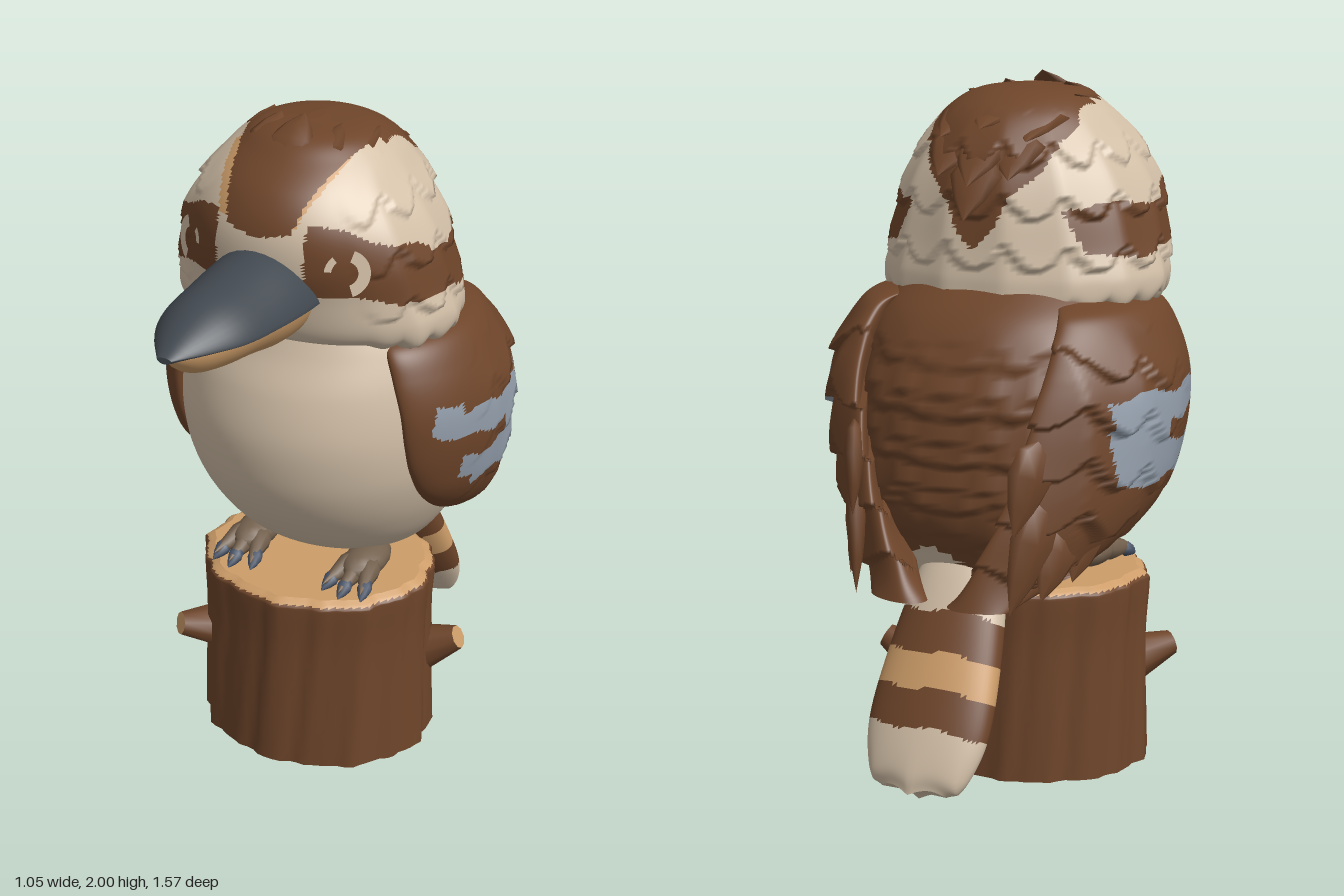
import * as THREE from 'three';

const mat = (name, color) => {
  const m = new THREE.MeshStandardMaterial({ color });
  m.name = name;
  return m;
};
const V = (x, y, z) => new THREE.Vector3(x, y, z);
const clamp = THREE.MathUtils.clamp;

export function createModel() {
  const model = new THREE.Group();
  model.name = 'birdOnStump';
  const brown = mat('brown', 0x6e452a), cream = mat('cream', 0xd2bfa7), tan = mat('tan', 0xcd9d69);
  const blue = mat('blueGrey', 0x929daa), slate = mat('slate', 0x41484f), skin = mat('footSkin', 0x74614e);
  const claw = mat('clawBlue', 0x4a566a);
  const mats = [brown, cream, tan, blue, slate];
  const [BROWN, CREAM, TAN, BLUE, SLATE] = [0, 1, 2, 3, 4];

  const add = (name, geo, material, parent = model) => {
    const m = new THREE.Mesh(geo, material);
    m.name = name;
    parent.add(m);
    return m;
  };
  const group = (name) => {
    const g = new THREE.Group();
    g.name = name;
    model.add(g);
    return g;
  };

  // Smooth surface through rows of ring sizes; paint(x, y, z) picks the colour of each face
  function loft(name, rows, nu, nv, pt, paint) {
    const size = rows[0].length;
    const spline = new THREE.CubicInterpolant(rows.map((_, i) => i), new Float32Array(rows.flat()), size, new Float32Array(size));
    const pos = [], faces = mats.map(() => []);
    for (let i = 0; i <= nv; i++) {
      const row = Array.from(spline.evaluate((i / nv) * (rows.length - 1)));
      for (let j = 0; j < nu; j++) pos.push(...pt(row, (j / nu) * Math.PI * 2));
    }
    const tri = (...t) => {
      const c = [0, 1, 2].map((k) => (pos[t[0] * 3 + k] + pos[t[1] * 3 + k] + pos[t[2] * 3 + k]) / 3);
      faces[paint(...c)].push(...t);
    };
    for (let i = 0; i < nv; i++) for (let j = 0; j < nu; j++) {
      const a = i * nu + j, b = i * nu + (j + 1) % nu;
      tri(a, a + nu, b);
      tri(b, a + nu, b + nu);
    }
    // End caps with their own vertices, so the rim stays sharp
    for (const start of [0, nv * nu]) {
      const ring = pos.slice(start * 3, (start + nu) * 3), first = pos.length / 3, c = [0, 0, 0];
      ring.forEach((v, k) => { c[k % 3] += v / nu; });
      pos.push(...ring, ...c);
      for (let j = 0; j < nu; j++) {
        const p = first + j, q = first + (j + 1) % nu;
        start ? tri(p, first + nu, q) : tri(p, q, first + nu);
      }
    }
    const geo = new THREE.BufferGeometry();
    geo.setAttribute('position', new THREE.Float32BufferAttribute(pos, 3));
    geo.setIndex(faces.flat());
    let offset = 0;
    faces.forEach((f, k) => {
      if (f.length) geo.addGroup(offset, f.length, k);
      offset += f.length;
    });
    geo.computeVertexNormals();
    return add(name, geo, mats);
  }

  // Height of overlapping feather layers: full at each scalloped lower edge, fading upward
  const shingle = (y, u, layer) => {
    const t = y / layer + 0.5 * Math.abs(Math.sin(u));
    return 1 - (t - Math.floor(t));
  };

  // Flat pointed feather lying from base to tip, facing along the normal
  const leaf = new THREE.LatheGeometry([[0, -0.5], [0.8, -0.36], [1, -0.1], [0.6, 0.22], [0, 0.5]].map((p) => new THREE.Vector2(...p)), 8);
  function feather(name, parent, material, base, tip, normal, width, thick) {
    const y = tip.clone().sub(base), len = y.length();
    y.normalize();
    const x = y.clone().cross(normal).normalize(), z = x.clone().cross(y);
    const m = add(name, leaf, material, parent);
    m.quaternion.setFromRotationMatrix(new THREE.Matrix4().makeBasis(x, y, z));
    m.position.copy(base).lerp(tip, 0.5);
    m.scale.set(width, len, thick);
  }

  // Stump with bark ridges and pale cut ends
  loft('stump', [[0, 0.36], [0.2, 0.354], [0.4, 0.35], [0.53, 0.356], [0.555, 0.352], [0.572, 0.325]], 90, 20, ([y, r], a) => {
    const k = 1 + 0.014 * Math.sin(9 * a + y) + 0.014 * Math.sin(17 * a + 3 * y) + 0.009 * Math.sin(31 * a + 9 * y);
    return [r * k * Math.cos(a), y, -0.055 + r * 0.88 * k * Math.sin(a)];
  }, (x, y) => (y > 0.557 || y < 0.001 ? TAN : BROWN));
  for (const [base, tip] of [[V(0.29, 0.245, -0.165), V(0.415, 0.312, -0.18)], [V(-0.28, 0.275, 0.05), V(-0.37, 0.308, 0.155)]]) {
    const d = tip.clone().sub(base);
    const stub = add('branchStub', new THREE.CylinderGeometry(0.036, 0.075, d.length(), 9), [brown, tan, brown]);
    stub.position.copy(base).lerp(tip, 0.5);
    stub.quaternion.setFromUnitVectors(V(0, 1, 0), d.normalize());
  }

  // Body, rows of [y, half width, front z, back z], fuller and feathered behind
  loft('body', [
    [0.575, 0.15, -0.12, -0.42], [0.62, 0.25, 0, -0.48], [0.7, 0.32, 0.12, -0.52], [0.8, 0.375, 0.21, -0.555],
    [0.9, 0.41, 0.27, -0.57], [1.0, 0.43, 0.302, -0.572], [1.12, 0.435, 0.314, -0.568], [1.25, 0.42, 0.292, -0.54],
    [1.36, 0.385, 0.25, -0.485], [1.46, 0.31, 0.22, -0.36],
  ], 80, 80, ([y, w, f, b], a) => {
    const c = Math.cos(a), s = Math.sin(a);
    const x = w * (s < 0 ? Math.sign(c) * Math.abs(c) ** 0.8 : c);
    const bump = 0.028 * clamp(-2 * s, 0, 1) * clamp((y - 0.7) * 6, 0, 1) * clamp((1.36 - y) * 6, 0, 1);
    return [x, y, (f + b) / 2 + ((f - b) / 2) * s - bump * shingle(y, x * 24, 0.13)];
  }, (x, y, z) => (z < -0.2 && y > 0.7 + 0.03 * Math.sin(25 * x) ? BROWN : CREAM));

  // Head with crown stripe and eye masks, ragged below
  loft('head', [
    [1.385, 0.3, 0.16, -0.3], [1.405, 0.378, 0.225, -0.375], [1.45, 0.41, 0.258, -0.39], [1.55, 0.393, 0.285, -0.385],
    [1.65, 0.374, 0.31, -0.38], [1.75, 0.337, 0.305, -0.365], [1.84, 0.28, 0.26, -0.335], [1.91, 0.222, 0.18, -0.28],
    [1.955, 0.148, 0.11, -0.19], [1.972, 0.02, 0, -0.08],
  ], 144, 100, ([y, w, f, b], a) => {
    const s = Math.sin(a), side = clamp((0.75 - s) * 4, 0, 1);
    const k = 1 + 0.055 * side * clamp((1.93 - y) * 8, 0, 1) * shingle(y - 1.42, 7 * a, 0.14);
    const hang = 0.035 * side * clamp((1.46 - y) * 15, 0, 1) * Math.abs(Math.sin(11 * a));
    return [w * k * Math.cos(a), y - hang, (f + b) / 2 + ((f - b) / 2) * k * s];
  }, (x, y, z) => {
    const ax = Math.abs(x), wob = 0.01 * Math.sin(30 * y + 22 * z);
    const crown = z > -0.05 ? clamp(0.085 + 0.45 * (y - 1.74), 0, 0.19) : clamp(0.75 * (y - 1.54), 0, 0.21);
    if ((z < -0.05 || y > 1.735 + 0.2 * ax) && ax < crown + wob) return BROWN;
    if (z > 0.08 && y > 1.77 && ax < crown + (x < 0 ? 0.032 : 0.008)) return TAN;
    const low = 1.53 + 0.15 * Math.max(0, z), high = 1.665 + 0.42 * Math.max(0, z);
    return ax > 0.135 && z > -0.3 + wob && y > low + wob && y < high + wob ? BROWN : CREAM;
  });

  // Crest on the crown and nape
  const crest = group('crest');
  for (const [x, y, z, ty, tz, w] of [
    [0, 1.905, 0.16, 2.0, 0.03, 0.07], [0.08, 1.9, 0.12, 1.975, -0.01, 0.06], [-0.08, 1.9, 0.12, 1.975, -0.01, 0.06],
    [0.14, 1.9, 0.05, 1.95, -0.1, 0.05], [-0.14, 1.9, 0.05, 1.95, -0.1, 0.05],
    [0, 1.955, -0.1, 1.87, -0.35, 0.1], [0.11, 1.92, -0.12, 1.84, -0.33, 0.08], [-0.11, 1.92, -0.12, 1.84, -0.33, 0.08],
    [0, 1.9, -0.24, 1.72, -0.425, 0.09], [0.09, 1.87, -0.25, 1.74, -0.39, 0.08], [-0.09, 1.87, -0.25, 1.74, -0.39, 0.08],
    [0, 1.82, -0.32, 1.63, -0.445, 0.08],
  ]) feather('crestFeather', crest, brown, V(x, y, z), V(x * 1.2, ty, tz), V(0, 1, -0.7), w, 0.02);

  // Eyes: pale crescent on each mask, with a glint on its inner side
  for (const s of [-1, 1]) {
    const n = V(s * 1.6, 0.3, 2.25).normalize();
    for (const [name, inner, outer, from, sweep] of [['eyeCrescent', 0.034, 0.068, -1.3, 2.5], ['eyeGlint', 0.04, 0.06, 2.2, 0.8]]) {
      const eye = add(name, new THREE.RingGeometry(inner, outer, 20, 1, s > 0 ? from : Math.PI - from - sweep, sweep), cream);
      eye.position.set(s * 0.236, 1.655, 0.236).addScaledVector(n, 0.012);
      eye.lookAt(eye.position.clone().add(n));
    }
  }

  // Beak, rows of [z, half width, height, seam y]
  const beak = (name, rows, up, peak, colour) => loft(name, rows, 36, 24, ([z, w, h, y0], a) => {
    const s = -Math.sin(a) * up;
    return [w * Math.cos(a), y0 + up * (s > 0 ? h * s ** peak : 0.012 * s), z];
  }, () => colour);
  beak('upperBeak', [[0.2, 0.168, 0.145, 1.555], [0.32, 0.168, 0.138, 1.558], [0.45, 0.157, 0.118, 1.563], [0.58, 0.138, 0.096, 1.57], [0.68, 0.092, 0.058, 1.574], [0.78, 0.022, 0.006, 1.575]], 1, 1.4, SLATE);
  beak('lowerBeak', [[0.18, 0.15, 0.15, 1.565], [0.32, 0.15, 0.145, 1.565], [0.45, 0.135, 0.12, 1.567], [0.58, 0.115, 0.102, 1.57], [0.68, 0.08, 0.076, 1.572], [0.765, 0.015, 0.01, 1.572]], -1, 1.2, TAN);

  // Wings, rows of [y, span, front z, back z], wrapped round the body, feathered towards the back
  const arc = (span, z) => span * Math.sqrt(Math.max(0.05, 1 - ((z + 0.14) / 0.56) ** 2));
  const wingRows = [
    [0.595, 0.34, -0.57, -0.62], [0.7, 0.39, -0.3, -0.61], [0.8, 0.45, -0.1, -0.6], [0.9, 0.49, 0.03, -0.585],
    [1.0, 0.51, 0.095, -0.57], [1.1, 0.52, 0.125, -0.555], [1.2, 0.515, 0.135, -0.53], [1.3, 0.48, 0.13, -0.485],
    [1.38, 0.425, 0.1, -0.42], [1.41, 0.34, 0, -0.32],
  ];
  for (const s of [-1, 1]) {
    loft(s > 0 ? 'leftWing' : 'rightWing', wingRows, 120, 100, ([y, span, f, b], a) => {
      const z = (f + b) / 2 + ((f - b) / 2) * Math.sin(a), c = Math.cos(a);
      const lift = clamp((-z - 0.05) * 3, 0, 1) * clamp((1.36 - y) * 8, 0, 1) * shingle(y + 0.25 * z, 20 * z, 0.15);
      const bump = s * c > 0 ? 0.026 * lift * Math.abs(c) : 0;
      return [s * (arc(span, z) - 0.08 + bump) + 0.08 * c, y, z - 0.035 * lift * clamp(-Math.sin(a), 0, 1)];
    }, (x, y, z) => {
      const wob = 0.012 * Math.sin(28 * z + 14 * y);
      const top = z > -0.01 ? 1.22 - 4 * Math.max(0, z - 0.07) : 1.175;
      const low = z > -0.02 ? 1.1 + 0.5 * Math.max(0, z) : z > -0.08 ? 0.96 : 0.92;
      const streak = z > -0.22 && y > 1.025 + wob && y < 1.09 + wob;
      return z > -0.43 + wob && z < 0.1 && y < top + wob && y > low + wob && !streak ? BLUE : BROWN;
    });
    // Long feathers along the lower trailing edge
    const plumes = group(s > 0 ? 'leftFlightFeathers' : 'rightFlightFeathers');
    for (const [x0, y0, z0, x1, y1, z1] of [
      [0.3, 0.92, -0.53, 0.24, 0.6, -0.64], [0.32, 0.84, -0.46, 0.3, 0.63, -0.57], [0.35, 0.86, -0.36, 0.34, 0.66, -0.46],
      [0.29, 1.08, -0.55, 0.25, 0.82, -0.635],
    ]) feather('flightFeather', plumes, brown, V(s * x0, y0, z0), V(s * x1, y1, z1), V(s, 0, -0.6), 0.075, 0.03);
  }

  // Banded tail, rows of [distance from tip, half width, thickness]
  loft('tail', [[0, 0.1, 0.036], [0.06, 0.155, 0.058], [0.2, 0.185, 0.074], [0.4, 0.172, 0.08], [0.6, 0.14, 0.075], [0.75, 0.1, 0.05]], 60, 80, ([d, w, t], a) => {
    const x = w * Math.cos(a), s = d + 0.022 * Math.abs(Math.sin(24 * x)) * Math.max(0, 1 - d * 6), k = t * Math.sin(a);
    return [x, 0.08 + 0.88 * s - 0.47 * k, -0.755 + 0.47 * s + 0.88 * k];
  }, (x, y, z) => {
    const s = (y - 0.08) * 0.88 + (z + 0.755) * 0.47 + 0.006 * Math.sin(30 * x);
    return s < 0.18 ? CREAM : s < 0.29 ? BROWN : s < 0.39 ? TAN : s < 0.51 ? BROWN : CREAM;
  });

  // Feet with three toes and claws
  for (const s of [-1, 1]) {
    const foot = group(s > 0 ? 'leftFoot' : 'rightFoot');
    const heel = add('heel', new THREE.SphereGeometry(1, 14, 10), skin, foot);
    heel.position.set(s * 0.185, 0.615, -0.01);
    heel.scale.set(0.062, 0.045, 0.11);
    for (const k of [-1, 0, 1]) {
      const x = s * 0.185 + k * 0.05, z = k ? 0.09 : 0.11;
      feather('toe', foot, skin, V(s * 0.185 + k * 0.02, 0.622, -0.03), V(x + k * 0.012, 0.592, z + 0.06), V(0, 1, 0.2), 0.032, 0.036);
      feather('claw', foot, claw, V(x, 0.605, z - 0.01), V(x + k * 0.015, 0.57, z + 0.065), V(0, 1, 0.2), 0.023, 0.023);
    }
  }
  return model;
}
